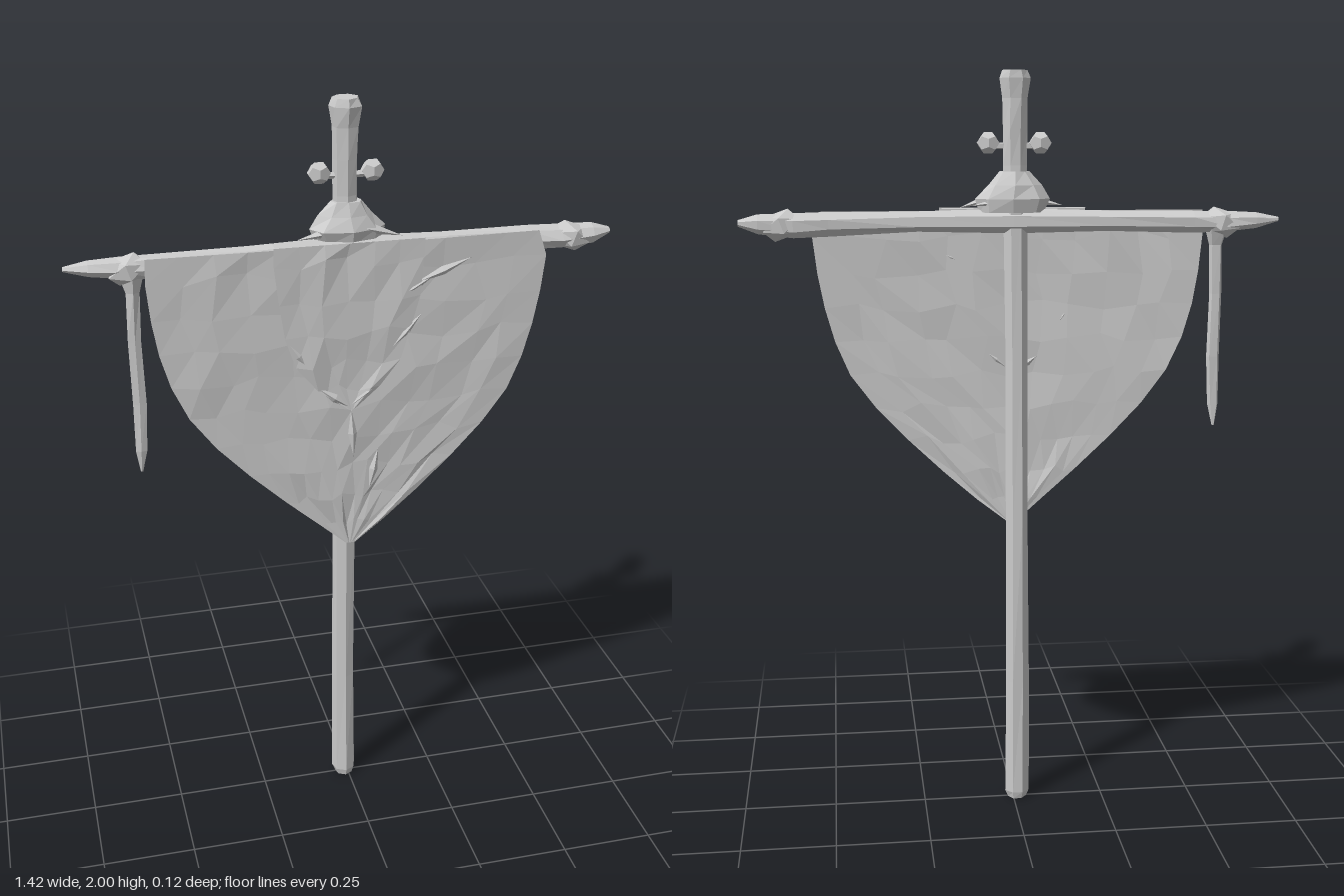
import * as THREE from 'three';

const mat = new THREE.MeshStandardMaterial({ color: 0xcccccc, flatShading: true });
const clothMat = new THREE.MeshStandardMaterial({ color: 0xcccccc, flatShading: true, side: THREE.DoubleSide });

// Repeatable noise in -1..1, equal for equal inputs
function noise(a, b, c = 0) {
  const s = Math.sin(a * 12.99 + b * 78.23 + c * 37.72) * 43758.55;
  return (s - Math.floor(s)) * 2 - 1;
}

function add(parent, name, geo, material = mat) {
  const mesh = new THREE.Mesh(geo, material);
  mesh.name = name;
  parent.add(mesh);
  return mesh;
}

// Hewn stick along y through rings of [y, centreX, centreZ, radiusX, radiusZ]
function loft(rings, sides, rough = 0) {
  const n = rings.length - 1;
  const geo = new THREE.CylinderGeometry(1, 1, n, sides, n).translate(0, n / 2, 0);
  const p = geo.attributes.position;
  for (let i = 0; i < p.count; i++) {
    const k = Math.round(p.getY(i));
    const [y, cx, cz, rx, rz] = rings[k];
    const x = p.getX(i), z = p.getZ(i);
    const f = 1 + rough * noise(k, Math.round(x * 50), Math.round(z * 50));
    p.setXYZ(i, cx + x * rx * f, y, cz + z * rz * f);
  }
  geo.computeVertexNormals();
  return geo;
}

// Hanging cloth: rows of [y, left x, right x], depth by rule plus wrinkles
function cloth(rows, cols, depth, wrinkle) {
  const n = rows.length - 1;
  const geo = new THREE.PlaneGeometry(1, n, cols, n);
  const p = geo.attributes.position;
  for (let i = 0; i < p.count; i++) {
    const r = Math.floor(i / (cols + 1)), c = i % (cols + 1);
    const [y, l, rt] = rows[r];
    const inner = c > 0 && c < cols && r > 0 && r < n;
    const u = c / cols + (inner ? noise(r, c, 3) * 0.25 / cols : 0);
    const x = l + (rt - l) * u;
    p.setXYZ(i, x, y + (inner ? noise(r, c, 5) * 0.015 : 0),
      depth(x, y) + (inner ? wrinkle * noise(r, c) : 0));
  }
  geo.computeVertexNormals();
  return geo;
}

export function createModel() {
  const group = new THREE.Group();

  // Upright pole
  add(group, 'pole', loft([
    [0, -0.01, 0, 0.026, 0.026], [0.02, -0.01, 0, 0.033, 0.032], [0.35, -0.011, 0, 0.032, 0.031],
    [0.8, -0.009, 0, 0.031, 0.032], [1.25, -0.008, 0, 0.031, 0.031], [1.66, -0.005, 0, 0.031, 0.031],
  ], 7, 0.06));

  // Crossbar with pointed ends, lofted upright and laid along x
  add(group, 'crossbar', loft([
    [-0.71, -1.618, -0.008, 0.006, 0.008], [-0.65, -1.615, -0.003, 0.02, 0.024],
    [-0.57, -1.612, 0, 0.027, 0.034], [-0.48, -1.612, 0, 0.03, 0.036],
    [-0.25, -1.616, 0, 0.029, 0.034], [0, -1.618, 0, 0.031, 0.036], [0.25, -1.618, 0, 0.029, 0.034],
    [0.48, -1.612, 0, 0.03, 0.036], [0.57, -1.608, 0, 0.032, 0.036],
    [0.66, -1.612, -0.002, 0.026, 0.028], [0.71, -1.616, -0.004, 0.008, 0.012],
  ], 7, 0.1).rotateZ(-Math.PI / 2));

  // Knotted bindings at the bar ends
  for (const [name, x, tilt] of [['rightKnot', -0.555, 0.3], ['leftKnot', 0.6, -0.35]]) {
    const knot = add(group, name, new THREE.IcosahedronGeometry(1, 0));
    knot.scale.set(0.058, 0.04, 0.043);
    knot.rotation.z = tilt;
    knot.position.set(x, 1.61, 0);
  }

  // Loose strip hanging from the right knot
  add(group, 'hangingStrip', loft([
    [1.06, -0.551, 0.002, 0.003, 0.002], [1.12, -0.55, 0.004, 0.016, 0.007],
    [1.25, -0.546, 0.002, 0.019, 0.008], [1.42, -0.548, 0.004, 0.017, 0.008],
    [1.55, -0.545, 0.004, 0.02, 0.012], [1.6, -0.545, 0, 0.032, 0.025],
  ], 5, 0.12));

  // Main banner, tapering to a point
  const bannerDepth = (x, y) => 0.038 + 0.01 * (1 - Math.abs(x) / 0.52) * Math.min(1, (y - 0.75) / 0.5);
  add(group, 'banner', cloth([
    [1.642, -0.515, 0.5], [1.575, -0.517, 0.523], [1.48, -0.508, 0.512], [1.39, -0.493, 0.495],
    [1.3, -0.467, 0.47], [1.21, -0.425, 0.432], [1.12, -0.358, 0.365], [1.03, -0.272, 0.28],
    [0.94, -0.176, 0.186], [0.86, -0.085, 0.095], [0.795, -0.012, 0.012],
  ], 12, bannerDepth, 0.005), clothMat);

  // Scarf draped over the middle
  add(group, 'scarf', cloth([
    [1.65, -0.2, 0.19], [1.6, -0.2, 0.187], [1.5, -0.188, 0.18], [1.41, -0.175, 0.155],
    [1.33, -0.148, 0.13], [1.26, -0.09, 0.075], [1.2, -0.008, 0.008],
  ], 6, () => 0.055, 0.006), clothMat);
  const scarfTop = add(group, 'scarfTop', new THREE.PlaneGeometry(0.38, 0.05), clothMat);
  scarfTop.rotation.x = -Math.PI / 2;
  scarfTop.position.set(-0.005, 1.649, 0.03);

  // Raised folds: the V at the scarf tip, side creases and a trailing end
  for (const [x, y, len, tilt] of [
    [-0.045, 1.235, 0.12, 0.95], [0.04, 1.245, 0.13, -0.9], [0.002, 1.13, 0.14, 0.05],
    [0.06, 1.02, 0.12, -0.2], [0.14, 1.4, 0.13, -0.75], [0.24, 1.56, 0.16, -1.2],
    [-0.14, 1.36, 0.12, 0.6], [0.16, 1.52, 0.13, -1.1],
  ]) {
    const fold = add(group, 'clothFold', new THREE.OctahedronGeometry(1, 0));
    fold.scale.set(0.012, len / 2, 0.009);
    fold.rotation.z = tilt;
    fold.position.set(x, y, 0.052);
  }

  // Faceted collar above the bar
  add(group, 'collar', loft([
    [1.64, 0.005, -0.005, 0.085, 0.045], [1.675, 0.005, -0.005, 0.098, 0.056],
    [1.71, 0, -0.002, 0.07, 0.045], [1.745, -0.002, 0, 0.04, 0.03],
  ], 8, 0.1));
  // Splinters sticking out of the collar
  for (const [x, z, tilt] of [[-0.085, 0.02, 1.75], [0.09, 0.025, -1.85], [0.06, -0.03, -1.7]]) {
    const splinter = add(group, 'splinter', new THREE.ConeGeometry(0.016, 0.1, 4));
    splinter.rotation.z = tilt;
    splinter.position.set(x, 1.665, z);
  }

  // Finial with flared top
  add(group, 'finial', loft([
    [1.66, -0.003, 0, 0.034, 0.03], [1.76, -0.004, 0, 0.031, 0.025], [1.85, -0.004, 0.002, 0.032, 0.028],
    [1.93, -0.004, 0.002, 0.034, 0.031], [1.98, -0.004, 0.002, 0.043, 0.038], [2, -0.004, 0.002, 0.032, 0.034],
  ], 7, 0.06));

  // Small knobbed pegs on both sides of the finial
  for (const s of [-1, 1]) {
    const peg = add(group, 'peg', new THREE.CylinderGeometry(0.009, 0.009, 0.05, 5));
    peg.rotation.z = Math.PI / 2;
    peg.position.set(s * 0.042, 1.81, 0);
    const knob = add(group, 'pegKnob', new THREE.DodecahedronGeometry(1, 0));
    knob.scale.set(0.031, 0.029, 0.02);
    knob.position.set(s * 0.068 - 0.003, 1.817, 0);
  }
  return group;
}
